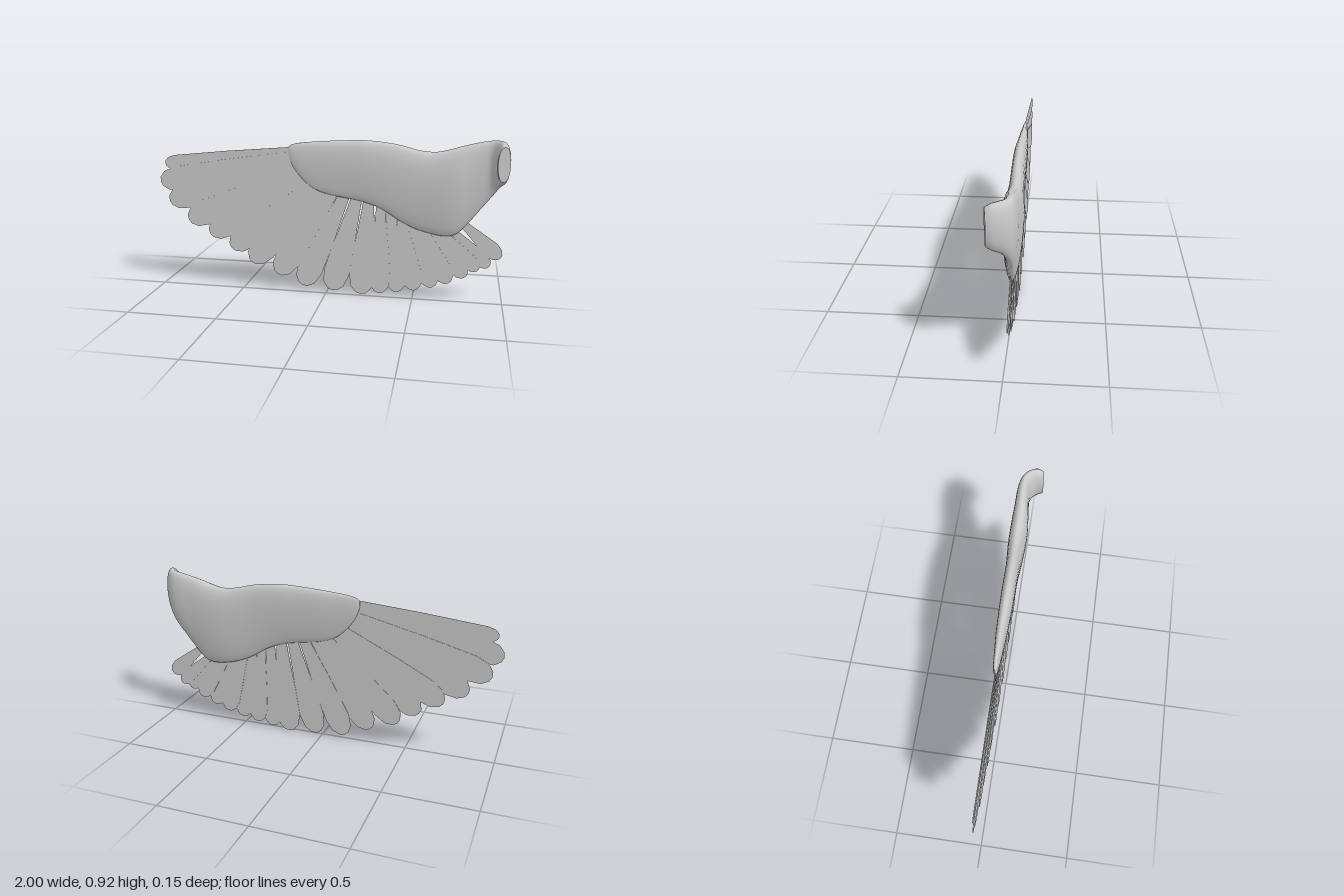
import * as THREE from 'three';

// Arm cross-sections from wing tip to shoulder:
// x, top y, bottom y, centre z, half thickness, turn about y, taper towards the trailing edge
const SECTIONS = [
  [-0.222, 0.85, 0.81, -0.026, 0.004, 0, 0.2],
  [-0.20, 0.866, 0.75, -0.027, 0.011, 0, 0.3],
  [-0.15, 0.877, 0.68, -0.028, 0.017, 0, 0.4],
  [-0.08, 0.884, 0.62, -0.029, 0.022, 0, 0.5],
  [0.02, 0.892, 0.585, -0.029, 0.029, 0, 0.5],
  [0.20, 0.90, 0.555, -0.026, 0.036, 0, 0.5],
  [0.32, 0.893, 0.512, -0.026, 0.037, 0, 0.5],
  [0.42, 0.877, 0.45, -0.027, 0.038, 0, 0.5],
  [0.51, 0.854, 0.408, -0.029, 0.043, 0, 0.45],
  [0.60, 0.846, 0.384, -0.029, 0.049, 0, 0.4],
  [0.68, 0.862, 0.375, -0.026, 0.051, 0, 0.4],
  [0.74, 0.88, 0.396, -0.026, 0.048, 0, 0.4],
  [0.80, 0.896, 0.462, -0.028, 0.042, 0.05, 0.3],
  [0.86, 0.909, 0.54, -0.029, 0.039, 0.15, 0.2],
  [0.91, 0.917, 0.605, -0.022, 0.038, 0.5, 0.1],
  [0.945, 0.92, 0.665, 0.005, 0.037, 0.95, 0],
  [0.963, 0.915, 0.69, 0.043, 0.036, 1.3, 0],
  [0.965, 0.895, 0.71, 0.073, 0.034, 1.37, 0],
];

// Feathers from leading to trailing: tip x, tip y, root x, root y
const FEATHERS = [
  [-0.965, 0.735, -0.19, 0.835], [-1.0, 0.625, -0.18, 0.80], [-0.95, 0.51, -0.17, 0.76],
  [-0.835, 0.40, -0.15, 0.71], [-0.705, 0.32, -0.12, 0.67], [-0.575, 0.24, -0.08, 0.635],
  [-0.455, 0.16, -0.03, 0.61], [-0.295, 0.095, 0.03, 0.59], [-0.145, 0.035, 0.10, 0.58],
  [0.03, 0.015, 0.17, 0.56], [0.20, 0.002, 0.24, 0.54], [0.31, 0.015, 0.31, 0.51],
  [0.41, 0.028, 0.37, 0.475], [0.51, 0.045, 0.43, 0.445], [0.61, 0.07, 0.49, 0.42],
  [0.70, 0.10, 0.55, 0.405], [0.79, 0.14, 0.61, 0.395], [0.86, 0.185, 0.66, 0.395],
  [0.92, 0.21, 0.71, 0.41], [0.98, 0.265, 0.77, 0.45],
];

const STEPS = 54, RING = 28;

function createArmGeometry() {
  const curve = (...cols) => new THREE.CatmullRomCurve3(
    SECTIONS.map(s => new THREE.Vector3(...cols.map(c => s[c]))), false, 'catmullrom', 0.5);
  const outline = curve(0, 1, 2), depth = curve(3, 4, 5), shape = curve(6, 6, 6);
  const pos = [], idx = [];

  // Smooth skin: rings run from the top over the front to the bottom and back
  for (let j = 0; j <= STEPS; j++) {
    const t = j / STEPS;
    const o = outline.getPoint(t), d = depth.getPoint(t);
    const k = Math.max(0, shape.getPoint(t).x);
    for (let i = 0; i < RING; i++) {
      const a = (i / RING) * Math.PI * 2;
      const u = (1 - Math.cos(a)) / 2;
      const s = Math.sin(a);
      const w = Math.sign(s) * Math.abs(s) ** 0.85 * d.y * (1 - k * u) / (1 - 0.38 * k);
      const z = THREE.MathUtils.lerp(d.x, -0.022, Math.min(1, k * 2) * u);
      pos.push(o.x - Math.sin(d.z) * w, THREE.MathUtils.lerp(o.y, o.z, u), z + Math.cos(d.z) * w);
    }
  }
  for (let j = 0; j < STEPS; j++) {
    for (let i = 0; i < RING; i++) {
      const n = (i + 1) % RING;
      const a = j * RING + i, b = a + RING, c = j * RING + n, d = c + RING;
      idx.push(a, c, b, b, c, d);
    }
  }

  // Flat caps with their own vertices so that the edge stays sharp
  for (const j of [0, STEPS]) {
    const ring = pos.slice(j * RING * 3, (j + 1) * RING * 3);
    const first = pos.length / 3;
    pos.push(...ring);
    for (let i = 1; i < RING - 1; i++) {
      if (j) idx.push(first, first + i, first + i + 1);
      else idx.push(first, first + i + 1, first + i);
    }
  }
  const geo = new THREE.BufferGeometry();
  geo.setAttribute('position', new THREE.Float32BufferAttribute(pos, 3));
  geo.setIndex(idx);
  geo.computeVertexNormals();
  return geo;
}

// Thin blade along +x with a blunt, bevelled tip
function createFeatherGeometry(length, half) {
  const end = length - half * 1.5;
  const side = [
    [-0.07, 0.35 * half], [length * 0.1, 0.5 * half], [length * 0.5, 0.82 * half],
    [end, half], [length - half * 0.55, 0.8 * half], [length - half * 0.1, 0.38 * half],
  ];
  const points = [...side, [length, 0], ...side.map(([x, y]) => [x, -y]).reverse()];
  const shape = new THREE.Shape(points.map(p => new THREE.Vector2(...p)));
  return new THREE.ExtrudeGeometry(shape, { depth: 0.002, bevelEnabled: false });
}

export function createModel() {
  const model = new THREE.Group();
  model.name = 'wing';
  const material = new THREE.MeshStandardMaterial({ color: 0xcccccc, roughness: 0.8 });

  const arm = new THREE.Mesh(createArmGeometry(), material);
  arm.name = 'wingArm';
  model.add(arm);

  // Fan of overlapping feathers, alternately in front and behind
  const feathers = new THREE.Group();
  feathers.name = 'feathers';
  const gap = (p, q) => Math.hypot(p[0] - q[0], p[1] - q[1]);
  FEATHERS.forEach((f, i) => {
    const [tx, ty, rx, ry] = f;
    const prev = FEATHERS[i - 1] ?? FEATHERS[i + 1], next = FEATHERS[i + 1] ?? FEATHERS[i - 1];
    const half = i === 0 ? 0.042 : Math.min(0.075, 0.29 * (gap(f, prev) + gap(f, next)));
    const feather = new THREE.Mesh(createFeatherGeometry(Math.hypot(tx - rx, ty - ry), half), material);
    feather.name = 'feather' + (i + 1);
    feather.position.set(rx, ry, i % 2 ? -0.0225 : -0.0245);
    feather.rotation.z = Math.atan2(ty - ry, tx - rx);
    feathers.add(feather);
  });
  model.add(feathers);
  return model;
}
